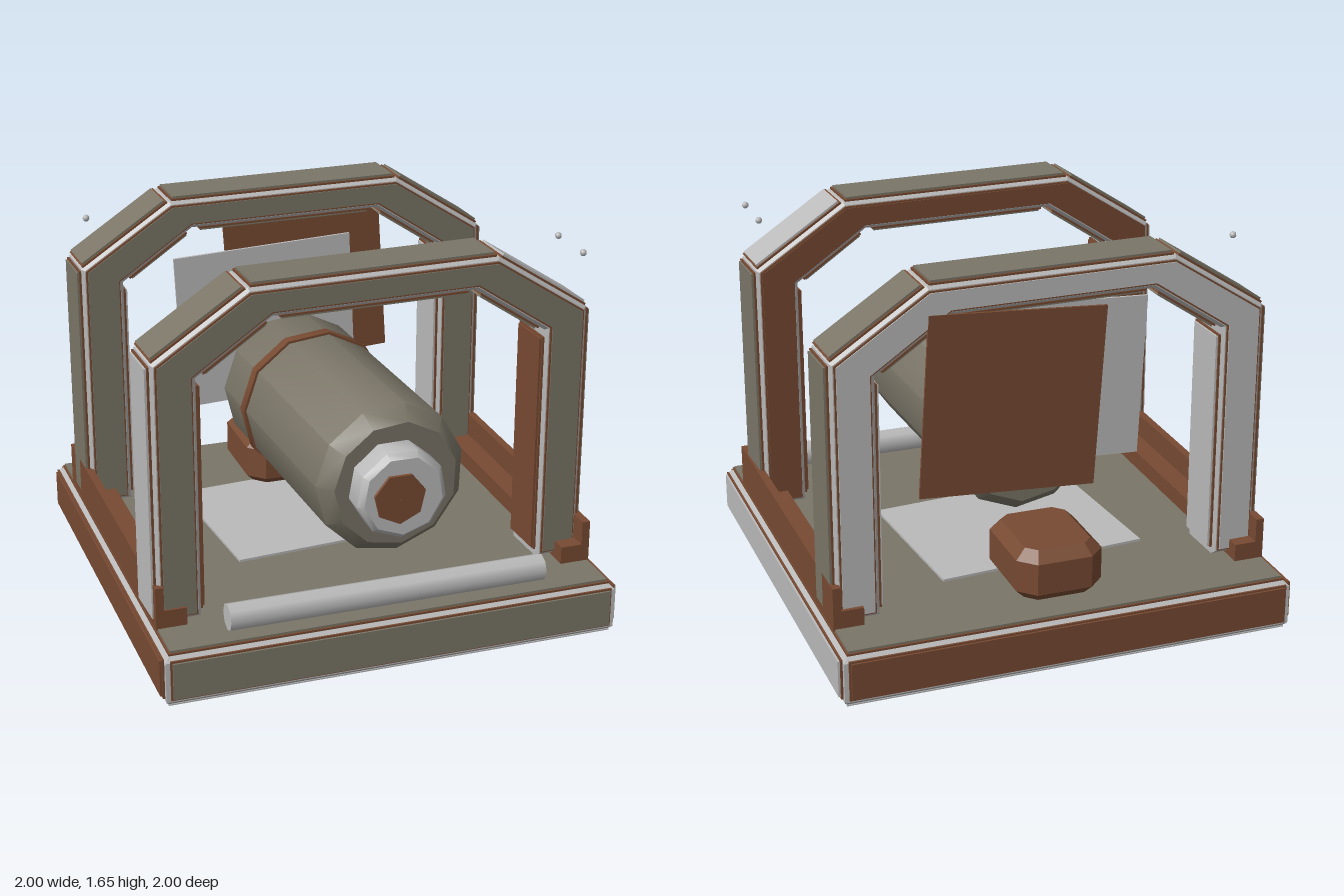
import * as THREE from 'three';
import { toCreasedNormals } from 'three/addons/utils/BufferGeometryUtils.js';

const paint = (name, color) => {
  const m = new THREE.MeshStandardMaterial({ color });
  m.name = name;
  return m;
};

export function createModel() {
  const olive = paint('olive', 0x7a7567);
  const rust = paint('rust', 0x774a32);
  const steel = paint('steel', 0xbababa);
  const model = new THREE.Group();
  model.name = 'cradledDrum';

  const add = (parent, name, geo, mat, x = 0, y = 0, z = 0) => {
    const mesh = new THREE.Mesh(geo, mat);
    mesh.name = name;
    mesh.position.set(x, y, z);
    parent.add(mesh);
    return mesh;
  };
  const box = (w, h, d) => new THREE.BoxGeometry(w, h, d);
  const shapeOf = pts => new THREE.Shape(pts.map(p => new THREE.Vector2(...p)));

  // Extrusion centred on z, with a bevel that stays inside the outline
  const slab = (shape, depth, bevel = 0) => {
    const geo = new THREE.ExtrudeGeometry(shape, {
      depth: depth - 2 * bevel, bevelEnabled: bevel > 0, bevelSegments: 1,
      bevelSize: bevel, bevelThickness: bevel, bevelOffset: -bevel,
    });
    return geo.translate(0, 0, bevel - depth / 2);
  };

  // Turned part along z, from [radius, z] pairs
  const turned = (profile, sides, phase = 0) => {
    const geo = new THREE.LatheGeometry(profile.map(p => new THREE.Vector2(...p)), sides, phase);
    return toCreasedNormals(geo.rotateX(Math.PI / 2), 0.74);
  };

  // Coloured plate on a rust backing, facing local +y
  const panel = (parent, name, w, d, mat, pos, rotX = 0, rotZ = 0) => {
    const g = new THREE.Group();
    g.name = name;
    add(g, name + 'Backing', box(w + 0.016, 0.009, d + 0.016), rust, 0, 0.0045, 0);
    add(g, name + 'Face', box(w, 0.009, d), mat, 0, 0.0135, 0);
    g.position.set(...pos);
    g.rotation.set(rotX, 0, rotZ);
    parent.add(g);
  };

  // Base: bevelled steel core with a panel on each visible face
  const base = new THREE.Group();
  base.name = 'base';
  model.add(base);
  const c = 0.982;
  const square = shapeOf([[-c, -c], [c, -c], [c, c], [-c, c]]);
  add(base, 'baseCore', slab(square, 0.22, 0.022).rotateX(-Math.PI / 2), steel, 0, 0.11, 0);
  add(base, 'baseUnderside', box(1.94, 0.006, 1.94), steel, 0, 0.003, 0);
  panel(base, 'deck', 1.91, 1.91, olive, [0, 0.22, 0]);
  panel(base, 'baseFront', 1.91, 0.16, olive, [0, 0.12, c], Math.PI / 2);
  panel(base, 'baseBack', 1.91, 0.16, rust, [0, 0.12, -c], -Math.PI / 2);
  panel(base, 'baseLeft', 0.16, 1.91, steel, [c, 0.12, 0], 0, -Math.PI / 2);
  panel(base, 'baseRight', 0.16, 1.91, rust, [-c, 0.12, 0], 0, Math.PI / 2);

  // Arch outlines; d shrinks the band evenly from all its edges
  const mirrored = half => [...half, ...half.map(([x, y]) => [-x, y]).reverse()];
  const outer = d => mirrored([[0.942 - d, 0.25 + d], [0.942 - d, 1.37 - 0.54 * d], [0.535 - 0.3 * d, 1.635 - d]]);
  const inner = d => mirrored([[0.755 + d, 0.25 + d], [0.755 + d, 1.29 + 0.54 * d], [0.435 + 0.3 * d, 1.505 + d]]);
  const band = d => shapeOf([...outer(d), ...inner(d).reverse()]);

  // Panels along each straight run of an arch
  const runPanels = (parent, name, pts, colours, facing, trim) => {
    colours.forEach((mat, i) => {
      const [a, b] = [pts[i], pts[i + 1]];
      const [dx, dy] = [b[0] - a[0], b[1] - a[1]];
      const angle = Math.atan2(dy, dx) + (facing > 0 ? Math.PI : 0);
      panel(parent, name + i, Math.hypot(dx, dy) - trim, 0.2, mat,
        [(a[0] + b[0]) / 2, (a[1] + b[1]) / 2, 0], 0, angle);
    });
  };

  // Colours run from the left leg over the top to the right leg
  const arch = (name, x, z, yaw, backMat, outside, inside) => {
    const g = new THREE.Group();
    g.name = name;
    g.position.set(x, 0, z);
    g.rotation.y = yaw;
    model.add(g);
    add(g, 'archCore', slab(band(0), 0.236, 0.014), steel);
    for (const s of [1, -1]) {
      add(g, 'archFaceBacking', slab(band(0.018), 0.008), rust, 0, 0, s * 0.122);
      add(g, 'archFace', slab(band(0.025), 0.008), s > 0 ? olive : backMat, 0, 0, s * 0.127);
    }
    runPanels(g, 'outerPanel', outer(0), outside, 1, 0.035);
    runPanels(g, 'innerPanel', inner(0), inside, -1, 0.08);
  };
  arch('frontArch', -0.01, 0.595, 0.033, rust,
    [olive, steel, olive, olive, steel], [rust, olive, olive, olive, rust]);
  arch('backArch', 0, -0.595, 0.025, steel,
    [olive, olive, olive, olive, olive], [steel, olive, olive, olive, steel]);

  // Angle rails along both sides
  for (const s of [1, -1]) {
    add(model, 'railFoot', box(0.13, 0.085, 1.53), rust, s * 0.895, 0.273, 0);
    add(model, 'railWall', box(0.035, 0.19, 1.53), rust, s * 0.9425, 0.325, 0);
  }

  // Drum with band, collar and end cap
  const drum = new THREE.Group();
  drum.name = 'drum';
  drum.position.set(0.01, 0.772, 0.22);
  drum.rotation.y = 0.04;
  model.add(drum);
  add(drum, 'drumBody', turned([[0.001, -0.62], [0.275, -0.62], [0.327, -0.565],
    [0.327, 0.565], [0.27, 0.63], [0.001, 0.63]], 11, 0.1), olive);
  add(drum, 'drumBand', turned([[0.3, -0.32], [0.338, -0.32], [0.338, -0.27], [0.3, -0.27]], 11, 0.1), rust);
  add(model, 'collar', turned([[0.001, 0.83], [0.193, 0.83], [0.193, 0.955],
    [0.17, 0.98], [0.001, 0.98]], 9), steel, 0.018, 0.778, 0);
  add(model, 'endCap', turned([[0.001, 0.97], [0.115, 0.97], [0.11, 0.99], [0.001, 0.99]], 7),
    rust, 0, 0.772, 0);

  // Chamfered block behind the drum
  const [bw, bd, k] = [0.19, 0.23, 0.07];
  const octagon = shapeOf([[-bw + k, -bd], [bw - k, -bd], [bw, -bd + k], [bw, bd - k],
    [bw - k, bd], [-bw + k, bd], [-bw, bd - k], [-bw, -bd + k]]);
  add(model, 'rearBlock', slab(octagon, 0.23, 0.045).rotateX(-Math.PI / 2), rust, -0.01, 0.35, -0.618);

  // Roller across the front
  add(model, 'frontRoller', new THREE.CylinderGeometry(0.058, 0.058, 1.38, 8).rotateZ(Math.PI / 2),
    steel, 0, 0.297, 0.863);

  // Loose sheets
  add(model, 'steelSheet', box(0.82, 0.71, 0.012), steel, -0.105, 1.045, -0.44).rotation.z = 0.045;
  add(model, 'rustSheet', box(0.755, 0.775, 0.012), rust, 0.18, 1.11, -0.735).rotation.z = 0.062;
  add(model, 'floorSheet', box(0.94, 0.012, 0.75), steel, -0.03, 0.243, -0.107).rotation.y = 0.08;

  // Small beads above the arch shoulders
  for (const [x, z] of [[0.91, 0.67], [0.91, 0.43], [-0.91, -0.45]]) {
    add(model, 'bead', new THREE.SphereGeometry(0.015, 8, 6), steel, x, 1.605, z);
  }
  return model;
}
